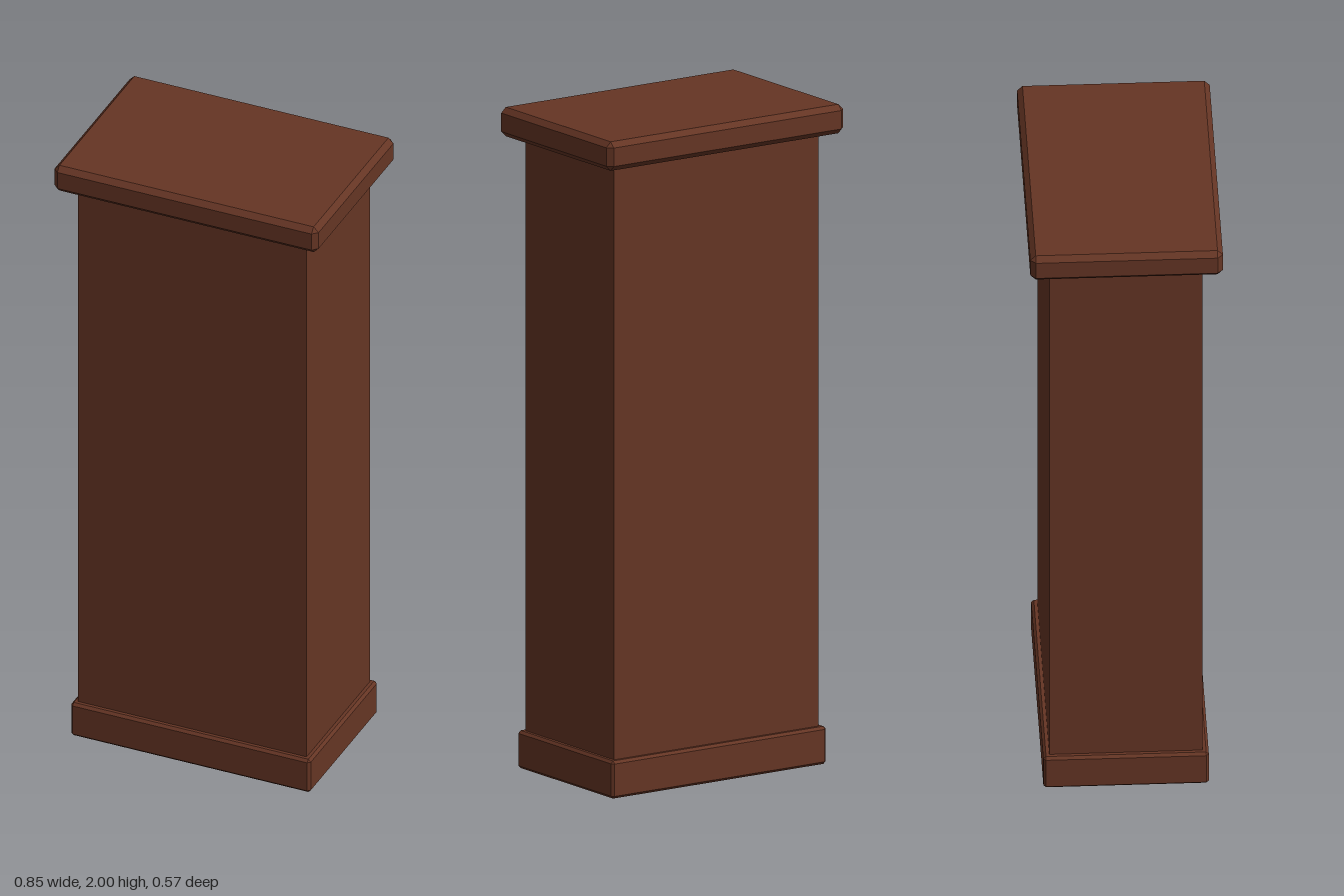
import * as THREE from 'three';
import { ConvexGeometry } from 'three/addons/geometries/ConvexGeometry.js';

// Box with every edge cut by a flat chamfer
function chamferedBox(width, height, depth, bevel) {
  const half = [width / 2, height / 2, depth / 2];
  const points = [];
  for (const sx of [-1, 1]) for (const sy of [-1, 1]) for (const sz of [-1, 1]) {
    const sign = [sx, sy, sz];
    // Three points per corner, each lying on one of the outer faces
    for (let face = 0; face < 3; face++) {
      const c = sign.map((s, axis) => s * (half[axis] - (axis === face ? 0 : bevel)));
      points.push(new THREE.Vector3(...c));
    }
  }
  return new ConvexGeometry(points);
}

export function createModel() {
  const group = new THREE.Group();
  group.name = 'pedestal';

  const wood = new THREE.MeshStandardMaterial({ color: 0x653524 });
  wood.name = 'dark reddish wood';

  const add = (name, geometry, bottom, top) => {
    const mesh = new THREE.Mesh(geometry, wood);
    mesh.name = name;
    mesh.position.y = (bottom + top) / 2;
    group.add(mesh);
  };

  // Plinth at the floor
  add('base', chamferedBox(0.774, 0.114, 0.488, 0.008), 0, 0.114);
  // Plain sharp-edged column
  add('column', new THREE.BoxGeometry(0.738, 1.84, 0.452), 0.09, 1.93);
  // Overhanging slab on top
  add('topSlab', chamferedBox(0.853, 0.088, 0.568, 0.016), 1.912, 2);

  return group;
}
